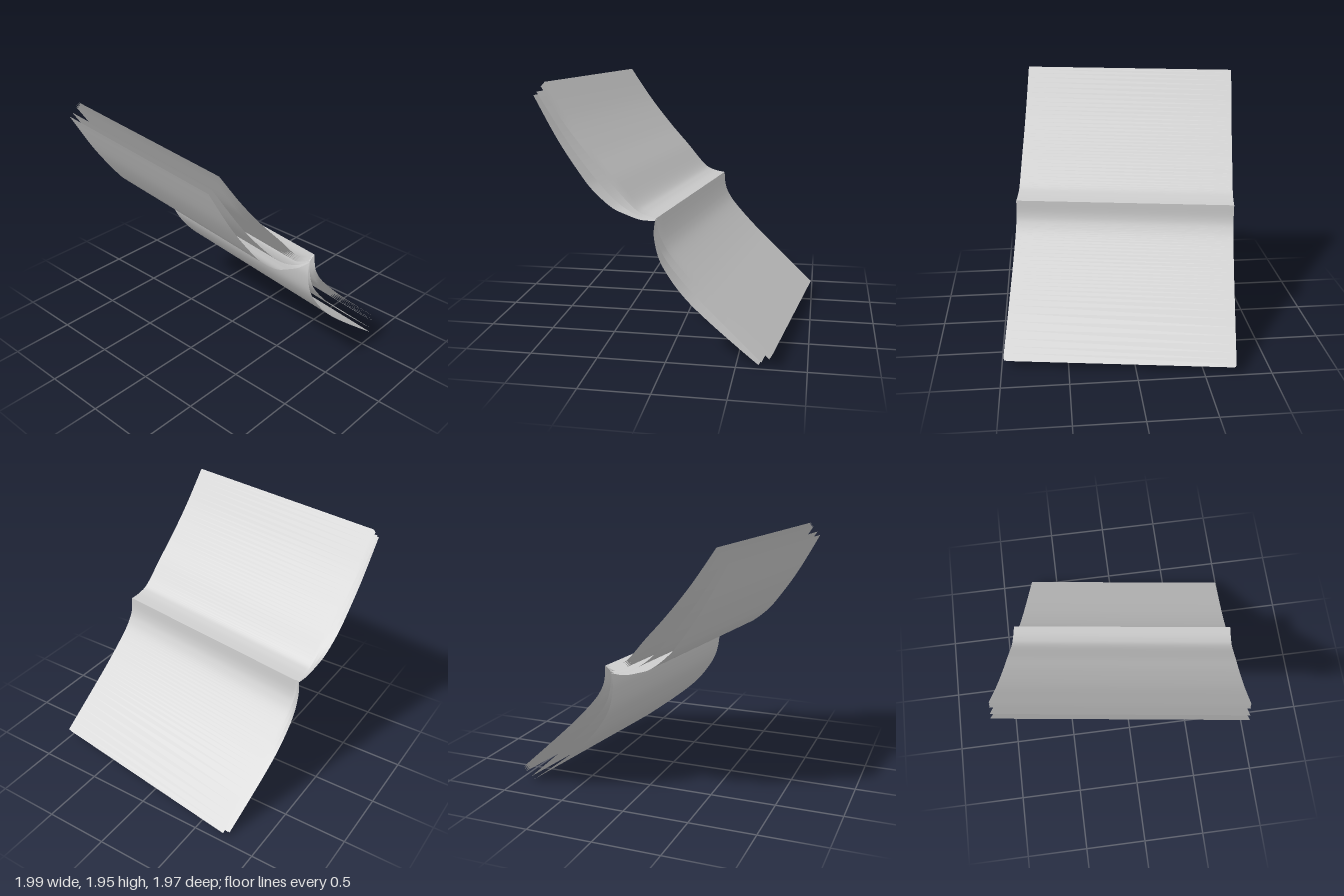
import * as THREE from 'three';

// Front-end profiles as [x, y]; upper leaves run tip to spine, lower leaves spine to tip.
const upper = {
  top: [[-0.915, 1.95], [-0.73, 1.69], [-0.545, 1.465], [-0.385, 1.29], [-0.235, 1.12], [-0.15, 1.07], [-0.045, 1.05]],
  bottom: [[-0.94, 1.92], [-0.765, 1.66], [-0.58, 1.435], [-0.415, 1.245], [-0.26, 1.09], [-0.175, 1.04], [-0.085, 1.02]],
  endpaper: [[-0.975, 1.88], [-0.75, 1.54], [-0.55, 1.29], [-0.38, 1.12], [-0.22, 1.03], [-0.09, 1.01]],
  cover: [[-1, 1.855], [-0.82, 1.54], [-0.645, 1.29], [-0.55, 1.18], [-0.42, 1.075], [-0.31, 1.03], [-0.2, 1.0], [-0.095, 1.0]],
};
const lower = {
  top: [[-0.045, 1.05], [-0.035, 0.945], [-0.005, 0.865], [0.065, 0.765], [0.225, 0.595], [0.415, 0.415], [0.755, 0.105]],
  bottom: [[-0.085, 1.02], [-0.07, 0.93], [-0.035, 0.845], [0.035, 0.74], [0.195, 0.565], [0.385, 0.385], [0.735, 0.07]],
  endpaper: [[-0.09, 1.01], [-0.085, 0.9], [-0.045, 0.77], [0.065, 0.62], [0.25, 0.43], [0.68, 0.04]],
  cover: [[-0.095, 1.0], [-0.105, 0.89], [-0.07, 0.73], [0.01, 0.59], [0.125, 0.45], [0.275, 0.315], [0.49, 0.145], [0.66, 0.017]],
};
const spineVector = new THREE.Vector3(0.237, -0.015, -1.712);
const PAGES = 5;

const material = new THREE.MeshStandardMaterial({ color: 0xcccccc, side: THREE.DoubleSide });

// A thin curved leaf: the profile swept along the spine
function leaf(name, profile) {
  const curve = new THREE.SplineCurve(profile.map(([x, y]) => new THREE.Vector2(x, y)));
  const geometry = new THREE.PlaneGeometry(1, 1, 48, 1);
  const pos = geometry.attributes.position;
  for (let i = 0; i < pos.count; i++) {
    const p = curve.getPoint(pos.getX(i) + 0.5);
    const back = pos.getY(i) + 0.5;
    // The end plane stays square to the spine
    const z = 0.87 + 0.138 * p.x - 0.009 * (p.y - 1);
    pos.setXYZ(i, p.x + spineVector.x * back, p.y + spineVector.y * back, z + spineVector.z * back);
  }
  geometry.computeVertexNormals();
  const mesh = new THREE.Mesh(geometry, material);
  mesh.name = name;
  return mesh;
}

const blend = (a, b, t) => a.map(([x, y], i) => [x + (b[i][0] - x) * t, y + (b[i][1] - y) * t]);

// One half of the open book: page stack, endpaper and cover
function half(name, side) {
  const group = new THREE.Group();
  group.name = name;
  for (let i = 0; i < PAGES; i++) {
    group.add(leaf('page' + (i + 1), blend(side.top, side.bottom, i / (PAGES - 1))));
  }
  group.add(leaf('endpaper', side.endpaper), leaf('cover', side.cover));
  return group;
}

export function createModel() {
  const book = new THREE.Group();
  book.name = 'openBook';
  book.add(half('upperHalf', upper), half('lowerHalf', lower));
  // Binding that closes the back of the page stack
  book.add(leaf('spine', [[-0.095, 1.0], [-0.085, 1.02], [-0.045, 1.05]]));
  return book;
}
